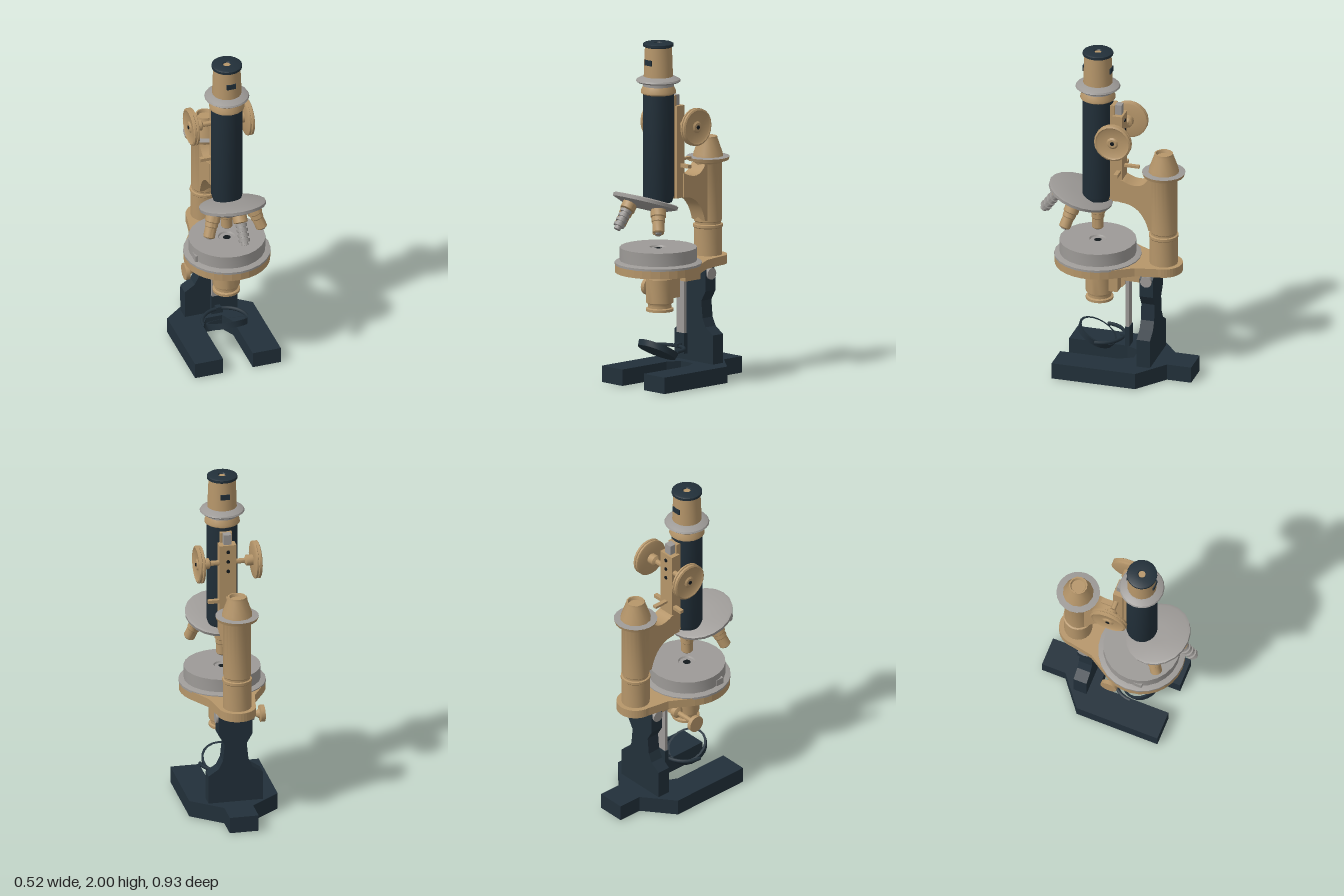
import * as THREE from 'three';
import { toCreasedNormals } from 'three/addons/utils/BufferGeometryUtils.js';

const mat = (name, color, side = THREE.FrontSide) => {
  const m = new THREE.MeshStandardMaterial({ color, side });
  m.name = name;
  return m;
};

export function createModel() {
  const model = new THREE.Group();
  model.name = 'microscope';
  const brass = mat('brass', 0xb6966a);
  const iron = mat('dark iron', 0x22303a);
  const steel = mat('steel', 0x9d9a97);
  const black = mat('black', 0x12181c);

  const AXIS = 0.13;      // z of the optical axis
  const COLUMN = -0.265;  // z of the arm column

  function add(name, geo, material, x = 0, y = 0, z = 0, parent = model) {
    const m = new THREE.Mesh(geo, material);
    m.name = name;
    m.position.set(x, y, z);
    parent.add(m);
    return m;
  }
  const box = (name, material, w, h, d, x, y, z, parent) =>
    add(name, new THREE.BoxGeometry(w, h, d), material, x, y, z, parent);
  // turned part: [radius, height] pairs from bottom to top
  const turned = (name, material, profile, z = 0, parent = model, sides = 20) =>
    add(name, toCreasedNormals(new THREE.LatheGeometry(
      profile.map(([r, y]) => new THREE.Vector2(r, y)), sides), 0.6), material, 0, 0, z, parent);
  const outline = (pts) => new THREE.Shape(pts.map(([a, b]) => new THREE.Vector2(a, b)));
  const mirrored = (half) => [...half, ...half.map(([x, y]) => [-x, y]).reverse()];
  const extrude = (shape, depth) =>
    new THREE.ExtrudeGeometry(shape, { depth, bevelEnabled: false, curveSegments: 10 });
  // plan shape (x, z) lying flat with its top at the given height
  const slab = (name, material, shape, top, thick) =>
    add(name, extrude(shape, thick).rotateX(Math.PI / 2), material, 0, top, 0);

  // horseshoe base with pads beneath
  slab('base', iron, outline(mirrored([
    [0.085, -0.455], [0.085, -0.31], [0.26, -0.17], [0.26, 0.33], [0.09, 0.33],
    [0.09, -0.02], [0.05, -0.1]])), 0.1, 0.096);
  for (const x of [-0.175, 0.175]) for (const z of [-0.06, 0.24]) {
    const pad = add('basePad', new THREE.CylinderGeometry(0.06, 0.06, 0.006, 8), steel, x, 0.003, z);
    pad.scale.z = 1.2;
  }

  // pillar with broad foot and flared head
  add('pillar', extrude(outline(mirrored([
    [0.16, 0.1], [0.16, 0.27], [0.1, 0.31], [0.075, 0.36], [0.065, 0.46], [0.1, 0.52],
    [0.1, 0.63], [0.08, 0.66]])), 0.08), iron, 0, 0, -0.23);
  const pivot = add('tiltPivot', new THREE.CylinderGeometry(0.034, 0.034, 0.225, 14), steel, 0, 0.62, -0.19);
  pivot.rotation.z = Math.PI / 2;

  // mirror carrier bar, fork and tilted mirror bowl
  box('mirrorBar', steel, 0.06, 0.39, 0.02, 0, 0.465, -0.055);
  box('mirrorBarFoot', iron, 0.07, 0.12, 0.028, 0, 0.22, -0.056);
  const fork = add('mirrorFork', new THREE.TorusGeometry(0.135, 0.011, 6, 16, Math.PI), iron, 0, 0.205, 0.11);
  fork.rotation.x = -Math.PI / 2;
  box('forkStem', iron, 0.03, 0.02, 0.05, 0, 0.21, -0.035);
  const mirror = new THREE.Group();
  mirror.name = 'mirror';
  mirror.position.set(0, 0.205, 0.135);
  mirror.rotation.x = -0.5;
  model.add(mirror);
  turned('mirrorBowl', iron, [[0, -0.02], [0.115, -0.02], [0.122, 0.015], [0.108, 0.015]], 0, mirror);

  // stage plate: round front running back to the column
  const plate = new THREE.Shape();
  plate.absarc(0, AXIS, 0.25, Math.PI * 1.17, -Math.PI * 0.17, true);
  plate.lineTo(0.135, -0.13);
  plate.lineTo(0.11, COLUMN);
  plate.absarc(0, COLUMN, 0.11, 0, -Math.PI, true);
  plate.lineTo(-0.135, -0.13);
  slab('stagePlate', brass, plate, 0.712, 0.052);
  turned('stageRing', steel, [[0.252, 0.705], [0.252, 0.718], [0.215, 0.728], [0, 0.728]], AXIS, model, 24);
  turned('stageTable', steel, [[0.222, 0.728], [0.222, 0.805], [0.05, 0.805], [0.045, 0.797], [0.02, 0.797]], AXIS, model, 24);
  turned('stageOpening', black, [[0.022, 0.798], [0, 0.798]], AXIS);
  box('stageClamp', steel, 0.04, 0.04, 0.05, -0.2, 0.745, 0.19);
  box('stageBracket', brass, 0.12, 0.075, 0.19, 0, 0.625, -0.125);

  // condenser with its side knob
  turned('condenser', brass, [[0, 0.46], [0.066, 0.46], [0.07, 0.475], [0.08, 0.48], [0.08, 0.62],
    [0.068, 0.63], [0.068, 0.665]], 0.12);
  turned('condenserRing', brass, [[0.05, 0.43], [0.08, 0.43], [0.08, 0.445], [0.068, 0.45], [0.068, 0.465]], 0.12);
  turned('condenserLens', black, [[0, 0.435], [0.055, 0.435]], 0.12);
  box('condenserSlide', brass, 0.09, 0.14, 0.06, 0, 0.57, 0.03);
  const side = new THREE.Group();
  side.name = 'condenserKnob';
  side.position.set(0, 0.53, 0.01);
  side.rotation.z = Math.PI / 2;
  model.add(side);
  turned('condenserKnobBody', brass, [[0, 0.03], [0.034, 0.03], [0.034, 0.06], [0.014, 0.07], [0.014, 0.17],
    [0.03, 0.19], [0.05, 0.195], [0.05, 0.22], [0, 0.22]], 0, side, 14);

  // arm column, fine-focus flange and cap
  turned('column', brass, [[0.082, 0.71], [0.082, 0.87], [0.086, 0.875], [0.086, 0.89], [0.076, 0.893],
    [0.076, 0.905], [0.08, 0.91], [0.08, 1.25], [0.09, 1.265]], COLUMN);
  turned('fineFocusFlange', brass, [[0.09, 1.262], [0.12, 1.266], [0.126, 1.285]], COLUMN);
  turned('fineFocusFlangeTop', steel, [[0.126, 1.285], [0.08, 1.289]], COLUMN);
  turned('fineFocusCap', brass, [[0.09, 1.286], [0.086, 1.305], [0.056, 1.39], [0.054, 1.403], [0.046, 1.403],
    [0.04, 1.385], [0, 1.385]], COLUMN, model, 12);

  // curved arm, drawn in (z, y)
  const arm = new THREE.Shape();
  arm.moveTo(-0.02, 1.08);
  arm.quadraticCurveTo(-0.15, 1.08, -0.19, 0.92);
  arm.lineTo(-0.25, 0.92);
  arm.lineTo(-0.25, 1.25);
  arm.lineTo(-0.19, 1.25);
  arm.quadraticCurveTo(-0.14, 1.16, -0.03, 1.22);
  arm.lineTo(-0.02, 1.22);
  add('arm', toCreasedNormals(extrude(arm, 0.11).translate(0, 0, -0.055).rotateY(-Math.PI / 2), 0.5), brass);

  // coarse-focus slide and rack
  box('slideBody', brass, 0.1, 0.54, 0.06, 0, 1.35, 0);
  box('slideGuide', brass, 0.07, 0.6, 0.06, 0, 1.38, 0.05);
  box('rack', steel, 0.045, 0.6, 0.045, 0, 1.38, 0.005);
  for (let i = 0; i < 3; i++) {
    const screw = add('slideScrew', new THREE.CylinderGeometry(0.011, 0.011, 0.008, 8), black, 0, 1.46 + i * 0.06, -0.031);
    screw.rotation.x = Math.PI / 2;
  }
  box('slideStopRod', brass, 0.025, 0.014, 0.1, 0, 1.295, -0.07);
  box('slideStopBar', brass, 0.23, 0.02, 0.025, 0, 1.27, -0.01);

  // pair of coarse-focus knobs
  for (const s of [-1, 1]) {
    const knob = new THREE.Group();
    knob.name = 'coarseFocusKnob';
    knob.position.set(0, 1.51, -0.01);
    knob.rotation.z = -s * Math.PI / 2;
    model.add(knob);
    turned('knobWheel', brass, [[0.03, 0.148], [0.1, 0.148], [0.11, 0.152], [0.11, 0.162], [0.102, 0.165],
      [0.11, 0.169], [0.11, 0.181], [0.1, 0.186], [0.09, 0.179], [0.035, 0.177], [0.025, 0.184], [0, 0.184]], 0, knob);
    turned('knobShaft', brass, [[0.015, 0.04], [0.015, 0.1], [0.032, 0.11], [0.032, 0.15]], 0, knob, 12);
    turned('knobScrew', black, [[0.012, 0.183], [0.012, 0.188], [0, 0.188]], 0, knob, 8);
  }

  // body tube, collar and eyepiece
  turned('bodyTube', iron, [[0, 1.07], [0.08, 1.07], [0.09, 1.1], [0.09, 1.702]], AXIS);
  turned('tubeCollar', brass, [[0.09, 1.7], [0.102, 1.708], [0.102, 1.72], [0.088, 1.75]], AXIS);
  turned('tubeFlange', steel, [[0.09, 1.748], [0.09, 1.765], [0.12, 1.77], [0.13, 1.778], [0.125, 1.787],
    [0.095, 1.802], [0.08, 1.805]], AXIS);
  turned('eyepiece', brass, [[0.085, 1.8], [0.082, 1.9], [0.078, 1.98]], AXIS);
  turned('eyepieceCap', iron, [[0.078, 1.975], [0.088, 1.98], [0.088, 1.995], [0.08, 2], [0.025, 2],
    [0.02, 1.992]], AXIS);
  turned('eyepieceLens', brass, [[0.022, 1.993], [0, 1.993]], AXIS);
  for (const s of [-1, 1]) box('eyepiecePlate', iron, 0.055, 0.032, 0.009, 0, 1.89, AXIS + s * 0.081);

  // tilted revolving nosepiece with four objectives
  const TILT = -0.32;
  const nose = new THREE.Group();
  nose.name = 'nosepiece';
  nose.position.set(0, 1.075, 0.235);
  nose.rotation.x = TILT;
  model.add(nose);
  turned('nosepieceDisc', steel, [[0, -0.035], [0.1, -0.035], [0.17, -0.008], [0.192, 0], [0.194, 0.018],
    [0.18, 0.024], [0.06, 0.03], [0, 0.03]], 0, nose);
  const barrel = [[0, -0.165], [0.027, -0.165], [0.034, -0.158], [0.034, -0.1], [0.038, -0.095], [0.038, -0.07],
    [0.044, -0.065], [0.044, 0]];
  const ribbed = [[0, -0.2], [0.02, -0.2], [0.02, -0.18]];
  for (let i = 0; i < 4; i++) {
    const y = -0.18 + i * 0.03;
    ribbed.push([0.032, y], [0.034, y + 0.018], [0.024, y + 0.02], [0.024, y + 0.03]);
  }
  for (let i = 0; i < 4; i++) {
    const turn = new THREE.Group();
    turn.name = 'objective';
    turn.rotation.y = i * Math.PI / 2;
    nose.add(turn);
    const seat = new THREE.Group();
    seat.name = 'objectiveSeat';
    seat.position.z = 0.11;
    seat.rotation.x = TILT;
    turn.add(seat);
    if (i === 0) {
      turned('objectiveBarrel', steel, ribbed, 0, seat, 14);
      turned('objectiveCollar', brass, [[0.024, -0.07], [0.042, -0.065], [0.042, 0]], 0, seat, 14);
    } else {
      turned('objectiveBarrel', brass, barrel, 0, seat, 14);
      turned('objectiveTip', steel, [[0, -0.172], [0.016, -0.172], [0.02, -0.164]], 0, seat, 14);
    }
  }
  return model;
}
